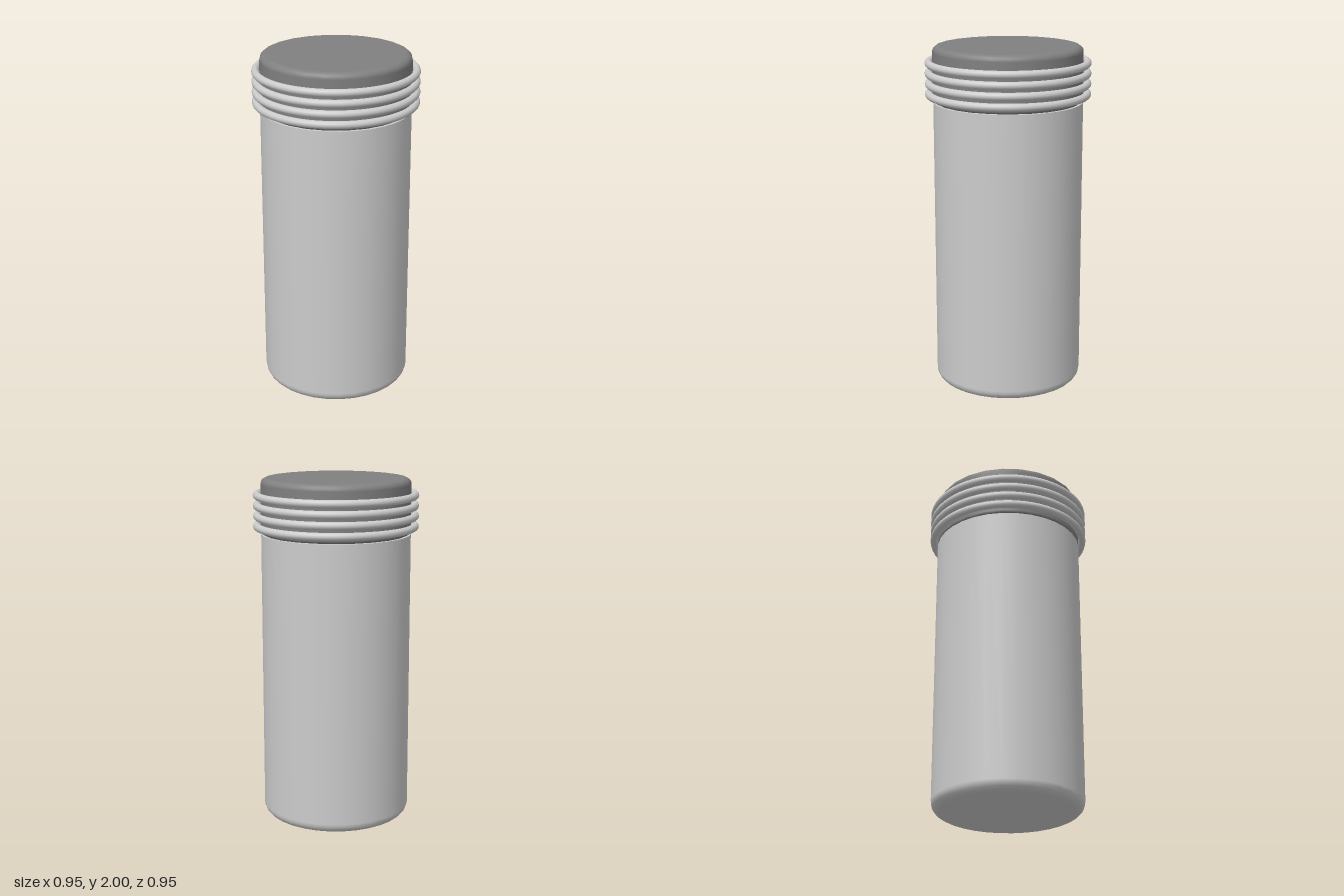
import * as THREE from 'three';

const grey = new THREE.MeshStandardMaterial({ color: 0xcccccc });
const dark = new THREE.MeshStandardMaterial({ color: 0x808080 });

// Quarter-round edge between two angles, around the centre (cx, cy)
function arc(cx, cy, r, from, to, steps = 5) {
  return Array.from({ length: steps + 1 }, (_, i) => {
    const a = from + ((to - from) * i) / steps;
    return new THREE.Vector2(cx + r * Math.cos(a), cy + r * Math.sin(a));
  });
}

// Round solid with rounded bottom and top edges; doubled points keep the flat ends crisp
function roundedDrum(name, radius, y0, y1, bottomEdge, topEdge, segments, material) {
  const p = [new THREE.Vector2(0, y0), new THREE.Vector2(radius - bottomEdge, y0)];
  p.push(...arc(radius - bottomEdge, y0 + bottomEdge, bottomEdge, -Math.PI / 2, 0));
  if (topEdge > 0) p.push(...arc(radius - topEdge, y1 - topEdge, topEdge, 0, Math.PI / 2));
  else p.push(new THREE.Vector2(radius, y1));
  p.push(new THREE.Vector2(radius - topEdge, y1), new THREE.Vector2(0, y1));
  const mesh = new THREE.Mesh(new THREE.LatheGeometry(p, segments), material);
  mesh.name = name;
  return mesh;
}

export function createModel() {
  const model = new THREE.Group();
  model.name = 'canister';

  // Tall body with a rounded foot and a sharp upper rim
  model.add(roundedDrum('body', 0.43, 0, 1.68, 0.06, 0, 32, grey));

  // Darker lid with softened edges
  model.add(roundedDrum('lid', 0.43, 1.68, 2, 0.02, 0.035, 24, dark));

  // Four grip rings around the lid
  const ringGeometry = new THREE.TorusGeometry(0.453, 0.022, 12, 64).rotateX(Math.PI / 2);
  for (let i = 0; i < 4; i++) {
    const ring = new THREE.Mesh(ringGeometry, grey);
    ring.name = `gripRing${i + 1}`;
    ring.position.y = 1.725 + i * 0.059;
    model.add(ring);
  }
  return model;
}
